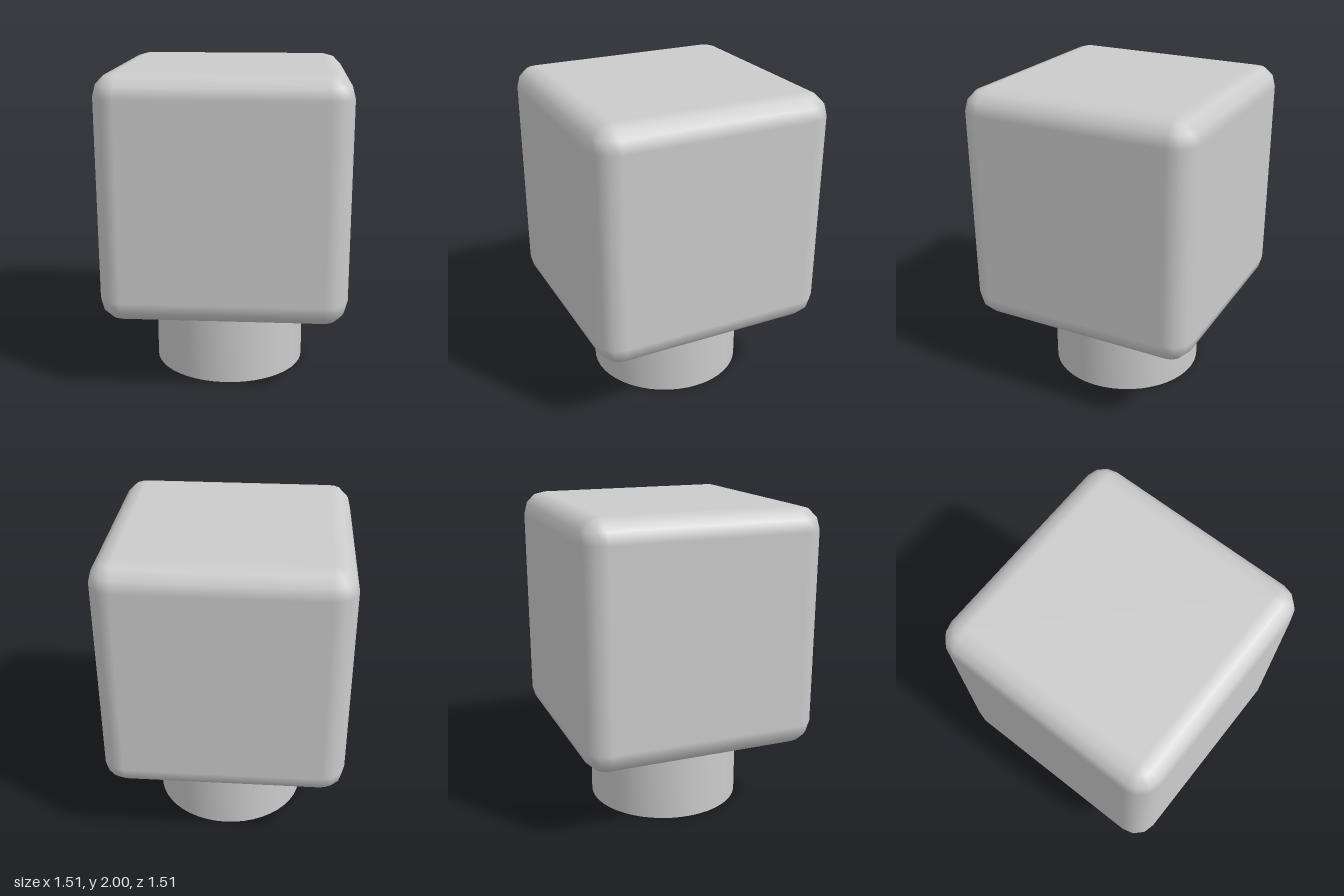
import * as THREE from 'three';
import { toCreasedNormals } from 'three/addons/utils/BufferGeometryUtils.js';

const BOTTOM = 0.485, HALF = (2 - BOTTOM) / 2, RADIUS = 0.145, STEPS = 3;

// Cube with rounded edges: a sphere whose eight octants are pushed out to the corners
function roundedCube(half, radius, steps) {
  const row = steps + 1, cols = 4 * row, rows = 2 * row + 1;
  const geo = new THREE.SphereGeometry(1, cols, rows);
  const { position, normal } = geo.attributes;
  const core = half - radius, quarter = Math.PI / 2;
  for (let j = 0, n = 0; j <= rows; j++) {
    const pole = j === 0 || j === rows;
    const lower = j > row;
    const phi = pole ? (lower ? Math.PI : 0) : ((lower ? 1 : 0) + ((j - 1) % row) / steps) * quarter;
    for (let i = 0; i <= cols; i++, n++) {
      const quadrant = Math.floor(i / row);
      const theta = (quadrant + (i % row) / steps) * quarter;
      const mid = (quadrant + 0.5) * quarter;
      const nx = -Math.cos(theta) * Math.sin(phi), ny = Math.cos(phi), nz = Math.sin(theta) * Math.sin(phi);
      // The poles stay central so that they fan out into the flat top and bottom
      const out = pole ? 0 : core;
      position.setXYZ(n,
        nx * radius - Math.sign(Math.cos(mid)) * out,
        ny * radius + (lower ? -core : core),
        nz * radius + Math.sign(Math.sin(mid)) * out);
      normal.setXYZ(n, nx, ny, nz);
    }
  }
  return geo;
}

export function createModel() {
  const group = new THREE.Group();
  const material = new THREE.MeshStandardMaterial({ color: 0xcccccc });

  // Rounded cube head
  const head = new THREE.Mesh(roundedCube(HALF, RADIUS, STEPS), material);
  head.name = 'cubeHead';
  head.position.y = BOTTOM + HALF;
  group.add(head);

  // Round stem with a blind socket in its underside
  const profile = [[0, 0.33], [0.388, 0.33], [0.388, 0], [0.495, 0], [0.495, BOTTOM + 0.01]]
    .map(([r, y]) => new THREE.Vector2(r, y));
  const stem = new THREE.Mesh(toCreasedNormals(new THREE.LatheGeometry(profile, 48), 0.6), material);
  stem.name = 'socketStem';
  group.add(stem);

  return group;
}
